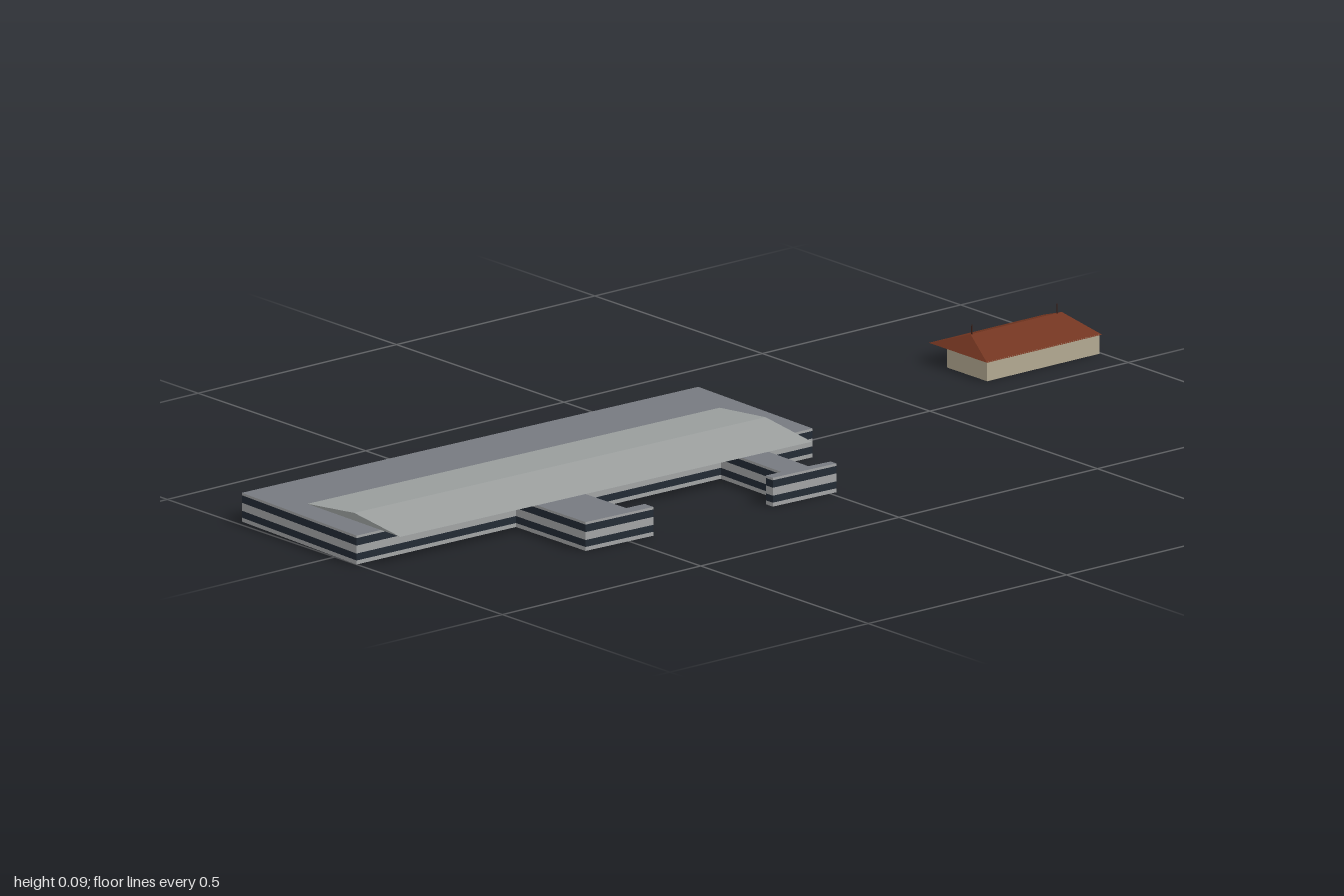
import * as THREE from 'three';

const mat = (name, color) => {
  const m = new THREE.MeshStandardMaterial({ color, side: THREE.DoubleSide });
  m.name = name;
  return m;
};

// Flat-shaded surface from corner points and polygon faces
function faces(points, polys) {
  const pos = [];
  for (const p of polys)
    for (let i = 1; i < p.length - 1; i++)
      for (const k of [p[0], p[i], p[i + 1]]) pos.push(...points[k]);
  const g = new THREE.BufferGeometry();
  g.setAttribute('position', new THREE.Float32BufferAttribute(pos, 3));
  g.computeVertexNormals();
  return g;
}

// Vertical wall ribbon around a closed [x, z] plan
function ribbon(plan, y0, y1) {
  const n = plan.length;
  const pts = [...plan.map(([x, z]) => [x, y0, z]), ...plan.map(([x, z]) => [x, y1, z])];
  return faces(pts, plan.map((_, i) => {
    const j = (i + 1) % n;
    return [i, j, n + j, n + i];
  }));
}

export function createModel() {
  const root = new THREE.Group();
  root.name = 'buildings';
  const wall = mat('wall grey', 0xa3a5a6);
  const glass = mat('window navy', 0x232b35);
  const deck = mat('flat roof grey', 0x777a80);
  const sheet = mat('raised roof grey', 0x9ca09f);
  const beige = mat('house wall beige', 0xb4aa92);
  const tile = mat('roof tile red', 0x733520);
  const iron = mat('finial dark', 0x3a1c14);

  const group = (name) => {
    const g = new THREE.Group();
    g.name = name;
    root.add(g);
    return g;
  };
  const add = (parent, name, geo, m) => {
    const mesh = new THREE.Mesh(geo, m);
    mesh.name = name;
    parent.add(mesh);
    return mesh;
  };

  // Main hall with its two side wings; plan runs front to back on the left side
  const hall = group('hall');
  const plan = [
    [-0.295, 0.985], [0.065, 1.0],
    [0.073, 0.605], [0.281, 0.605], [0.288, 0.44], [0.262, 0.44], [0.26, 0.485], [0.076, 0.485],
    [0.083, 0.097], [0.27, 0.102], [0.268, 0.14], [0.289, 0.14], [0.295, -0.015], [0.278, -0.015],
    [0.274, 0.038], [0.085, 0.033],
    [0.088, -0.13], [-0.265, -0.14],
  ];
  const H = 0.058;
  const levels = [0, 0.008, 0.022, 0.038, 0.053, H];
  for (let i = 0; i < 5; i++) {
    const dark = i % 2 === 1;
    add(hall, dark ? 'windowBand' : 'wallBand', ribbon(plan, levels[i], levels[i + 1]), dark ? glass : wall);
  }
  const outline = new THREE.Shape(plan.map(([x, z]) => new THREE.Vector2(x, -z)));
  const flat = new THREE.ShapeGeometry(outline).rotateX(-Math.PI / 2).translate(0, H, 0);
  add(hall, 'flatRoof', flat, deck);

  // Low gabled roof overhanging the left wall
  const e = H + 0.001, r = 0.074;
  add(hall, 'raisedRoof', faces([
    [-0.155, e, 0.938], [-0.013, r, 0.94], [0.128, e, 0.943],
    [-0.13, e, -0.08], [0.013, r, -0.075], [0.157, e, -0.07],
  ], [[0, 1, 4, 3], [1, 2, 5, 4], [0, 2, 1], [3, 4, 5], [0, 3, 5, 2]].map((p) => p.slice().reverse())), sheet);

  // Small house with a bay on one side
  const house = group('house');
  const housePlan = [
    [-0.20, -0.712], [-0.08, -0.712], [-0.08, -0.995], [-0.20, -0.995],
    [-0.20, -0.89], [-0.245, -0.89], [-0.245, -0.80], [-0.20, -0.80],
  ];
  add(house, 'houseWalls', ribbon(housePlan, 0, 0.039), beige);

  // Hipped roof
  const x0 = -0.252, x1 = -0.078, xm = -0.165, z0 = -1, z1 = -0.71, ey = 0.038, ry = 0.069;
  const ridge = [-0.972, -0.742];
  add(house, 'hippedRoof', faces([
    [x0, ey, z1], [x1, ey, z1], [x1, ey, z0], [x0, ey, z0], [xm, ry, ridge[1]], [xm, ry, ridge[0]],
  ], [[0, 1, 4], [1, 2, 5, 4], [2, 3, 5], [3, 0, 4, 5]]), tile);

  // Finials at the ridge ends
  for (const z of [-0.96, -0.745]) {
    add(house, 'finial', new THREE.CylinderGeometry(0.001, 0.0015, 0.022, 6), iron).position.set(xm, 0.077, z);
  }
  return root;
}
